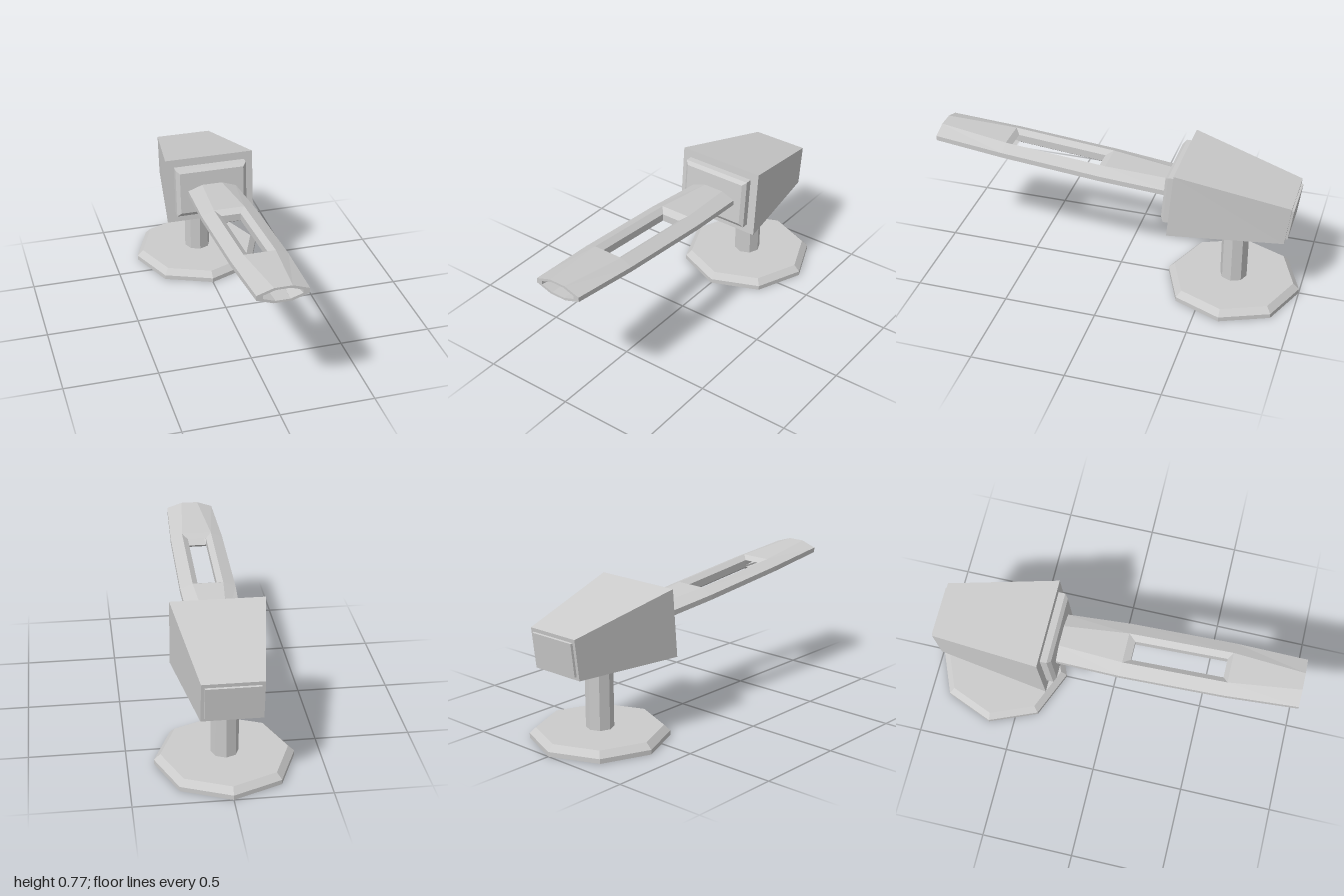
import * as THREE from 'three';

const solid = new THREE.MeshStandardMaterial({ color: 0xcccccc, flatShading: true });
const shell = new THREE.MeshStandardMaterial({ color: 0xcccccc, flatShading: true, side: THREE.DoubleSide });

// Skin a series of rings; skip(ring, side) leaves a face open, caps close the ends.
function loft(name, rings, { capStart = false, capEnd = false, skip = () => false } = {}) {
  const pos = [];
  const tri = (a, b, c) => pos.push(...a, ...b, ...c);
  for (let r = 0; r < rings.length - 1; r++) {
    const p = rings[r], q = rings[r + 1], n = p.length;
    for (let i = 0; i < n; i++) {
      if (skip(r, i)) continue;
      const j = (i + 1) % n;
      tri(p[i], p[j], q[j]);
      tri(p[i], q[j], q[i]);
    }
  }
  const first = rings[0], last = rings[rings.length - 1];
  for (let i = 1; i < first.length - 1; i++) {
    if (capStart) tri(first[0], first[i + 1], first[i]);
    if (capEnd) tri(last[0], last[i], last[i + 1]);
  }
  const geo = new THREE.BufferGeometry();
  geo.setAttribute('position', new THREE.Float32BufferAttribute(pos, 3));
  geo.computeVertexNormals();
  const mesh = new THREE.Mesh(geo, solid);
  mesh.name = name;
  return mesh;
}

// Upright rectangle whose depth follows a leaning plane
const rect = (w, y0, y1, zAt) => [
  [w, y0, zAt(y0)], [w, y1, zAt(y1)], [-w, y1, zAt(y1)], [-w, y0, zAt(y0)],
];
const frontZ = (off) => (y) => -0.316 - 0.087 * (y - 0.408) + off;
const backZ = (off) => (y) => -0.92 - 0.125 * (y - 0.413) - off;

// Centre line of the arm rises gently toward the front
const armY = (z) => 0.62 + 0.09 * z;

// Flattened octagon: f = half flat, t = half thickness, s = half width, b = half side height
const octagon = (z, f, t, s, b) =>
  [[s, -b], [s, b], [f, t], [-f, t], [-s, b], [-s, -b], [-f, -t], [f, -t]]
    .map(([x, y]) => [x, armY(z) + y, z]);

// Level rectangle across the arm, used for the slot walls
const slotRing = (w, z0, z1, h) =>
  [[w, z1], [w, z0], [-w, z0], [-w, z1]].map(([x, z]) => [x, armY(z) + h, z]);

export function createModel() {
  const model = new THREE.Group();
  model.name = 'pivotArmOnStand';

  // Hollow foot and post in one octagonal turning, open underneath
  const profile = [[0.363, 0], [0.363, 0.025], [0.33, 0.057], [0.073, 0.057], [0.073, 0.42]]
    .map(([x, y]) => new THREE.Vector2(x, y));
  const stand = new THREE.Mesh(new THREE.LatheGeometry(profile, 8), shell);
  stand.name = 'footAndPost';
  stand.position.z = -0.637;
  model.add(stand);

  // Tapered head block
  model.add(loft('head', [
    rect(0.155, 0.413, 0.63, backZ(0)),
    rect(0.247, 0.408, 0.775, frontZ(0)),
  ], { capStart: true, capEnd: true }));

  // Raised panel on the back of the head
  model.add(loft('backPanel', [
    rect(0.136, 0.433, 0.608, backZ(0.012)),
    rect(0.14, 0.429, 0.612, backZ(-0.01)),
  ], { capStart: true }));

  // Bevelled collar on the front of the head
  model.add(loft('collar', [
    rect(0.2, 0.457, 0.732, frontZ(-0.01)),
    rect(0.2, 0.457, 0.732, frontZ(0.036)),
    rect(0.18, 0.48, 0.715, frontZ(0.053)),
  ], { capEnd: true }));

  // Arm skin, rim of the open mouth and the tunnel running back to the slot
  const arm = new THREE.Group();
  arm.name = 'arm';
  arm.add(loft('armBody', [
    octagon(-0.3, 0.055, 0.042, 0.135, 0.014),
    octagon(0.065, 0.083, 0.042, 0.15, 0.014),
    octagon(0.62, 0.083, 0.042, 0.148, 0.014),
    octagon(1, 0.046, 0.042, 0.132, 0.013),
    octagon(1, 0.037, 0.03, 0.1, 0.009),
    octagon(0.595, 0.052, 0.02, 0.052, 0.01),
  ], { skip: (r, i) => r === 1 && (i === 2 || i === 6) }));

  // Slot through the arm with chamfered edges above and below
  arm.add(loft('armSlot', [
    slotRing(0.083, 0.065, 0.62, 0.042),
    slotRing(0.052, 0.105, 0.595, 0.02),
    slotRing(0.052, 0.105, 0.595, -0.02),
    slotRing(0.083, 0.065, 0.62, -0.042),
  ], { skip: (r, i) => r === 1 && i === 3 }));
  model.add(arm);

  return model;
}
